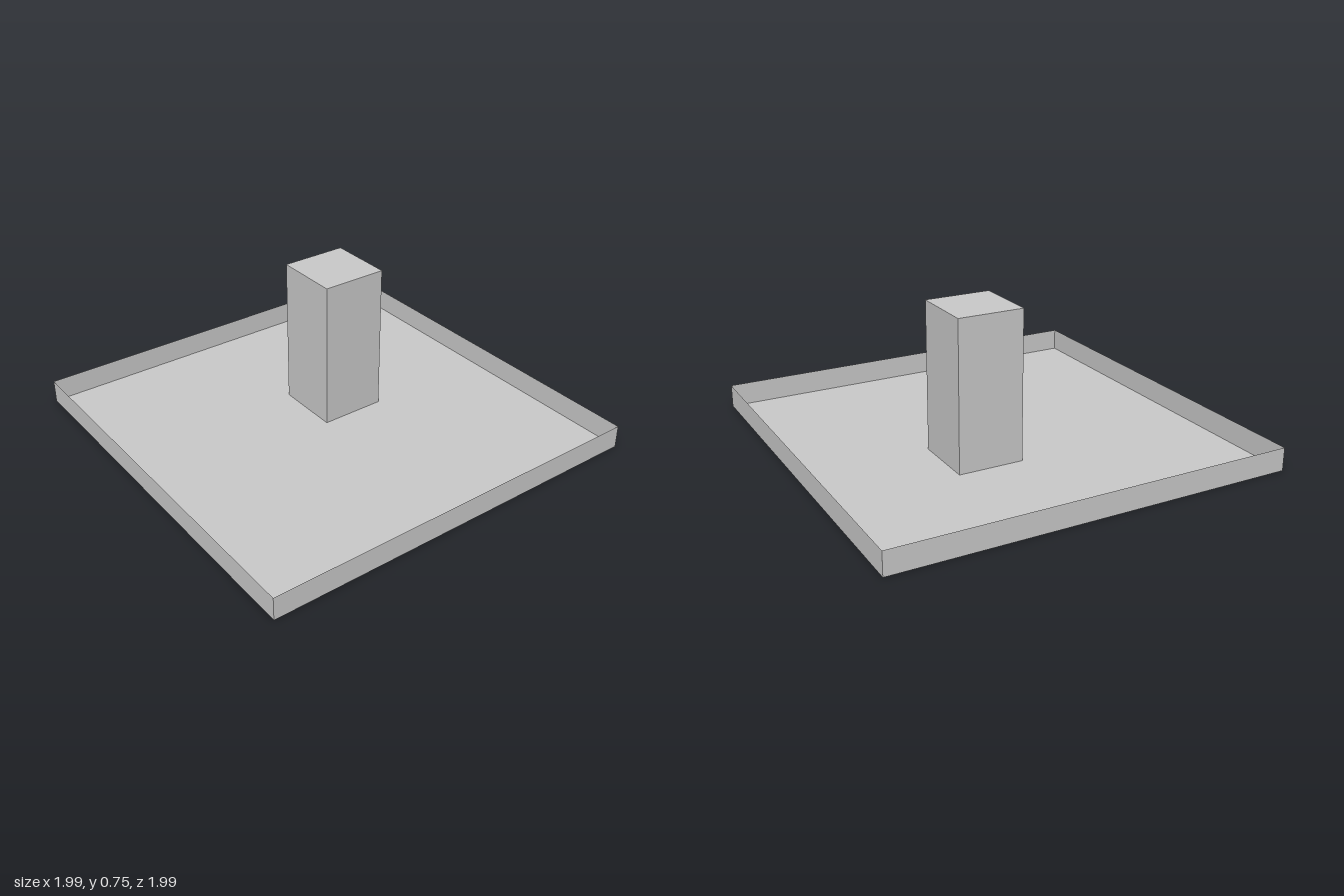
import * as THREE from 'three';

const material = new THREE.MeshStandardMaterial({
  color: 0xcccccc, flatShading: true, side: THREE.DoubleSide,
});

// Four thin upright sheets around a rectangle, facing outwards
function sheetWalls(name, width, depth, height) {
  const group = new THREE.Group();
  group.name = name;
  for (let i = 0; i < 4; i++) {
    const [span, offset] = i % 2 ? [depth, width / 2] : [width, depth / 2];
    const geometry = new THREE.PlaneGeometry(span, height);
    geometry.translate(0, height / 2, offset).rotateY(i * Math.PI / 2);
    const wall = new THREE.Mesh(geometry, material);
    wall.name = name + 'Side' + (i + 1);
    group.add(wall);
  }
  return group;
}

export function createModel() {
  const model = new THREE.Group();
  model.name = 'trayWithPillar';
  const size = 1.99, half = size / 2, rimHeight = 0.115;
  const pillarSize = 0.33, pillarHeight = 0.745;

  // Thin floor, open beneath the hollow pillar
  const outline = new THREE.Shape([
    new THREE.Vector2(-half, -half), new THREE.Vector2(half, -half),
    new THREE.Vector2(half, half), new THREE.Vector2(-half, half),
  ]);
  outline.holes.push(new THREE.Path([
    new THREE.Vector2(0, 0), new THREE.Vector2(0, pillarSize),
    new THREE.Vector2(pillarSize, pillarSize), new THREE.Vector2(pillarSize, 0),
  ]));
  const floor = new THREE.Mesh(new THREE.ShapeGeometry(outline).rotateX(-Math.PI / 2), material);
  floor.name = 'floor';
  model.add(floor);

  // Low rim around the floor
  model.add(sheetWalls('rim', size, size, rimHeight));

  // Hollow square pillar with a closed top
  const pillar = sheetWalls('pillar', pillarSize, pillarSize, pillarHeight);
  const cap = new THREE.Mesh(
    new THREE.PlaneGeometry(pillarSize, pillarSize).rotateX(-Math.PI / 2), material);
  cap.name = 'pillarTop';
  cap.position.y = pillarHeight;
  pillar.add(cap);
  pillar.position.set(pillarSize / 2, 0, -pillarSize / 2);
  model.add(pillar);

  return model;
}
